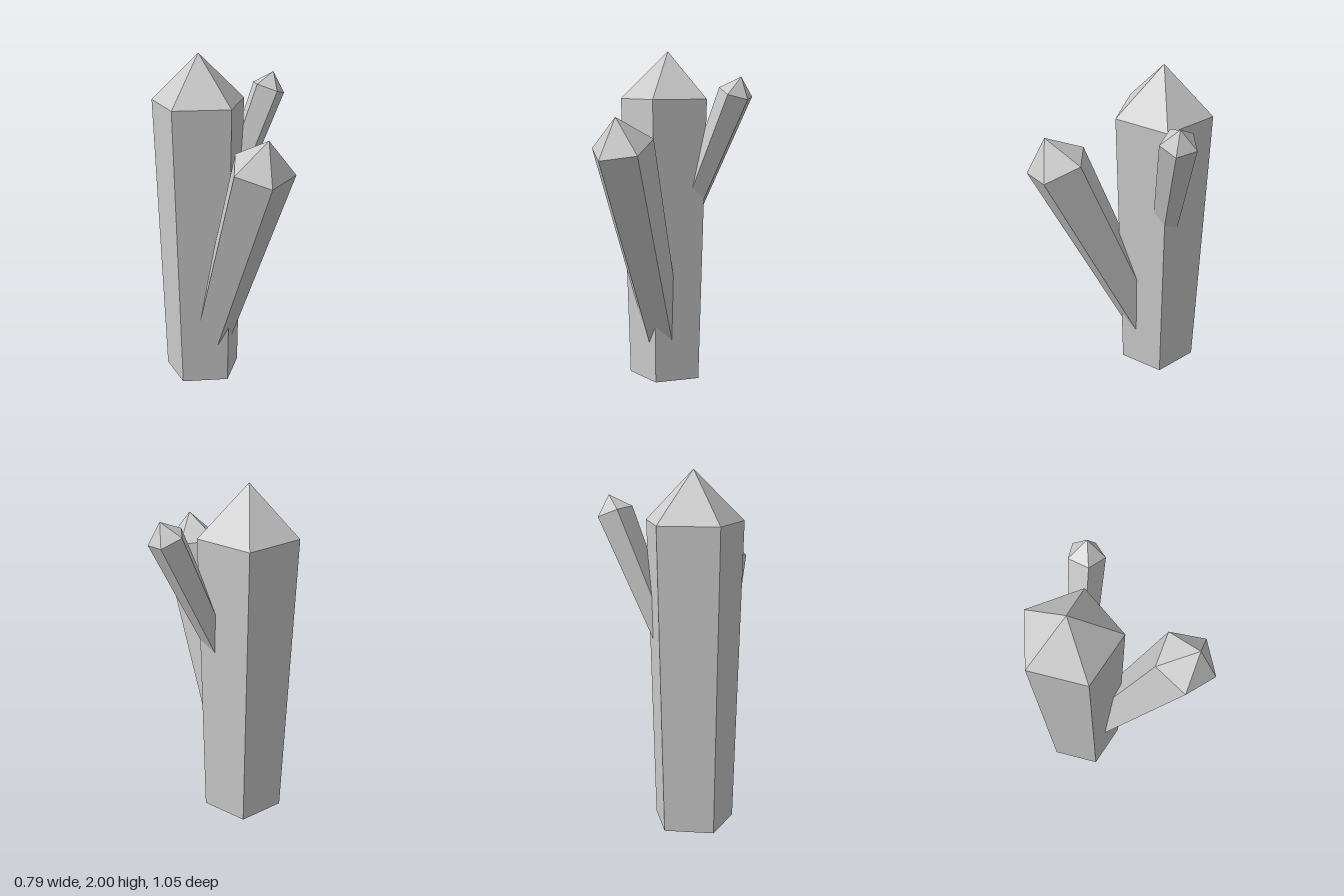
import * as THREE from 'three';

const material = new THREE.MeshStandardMaterial({
  color: 0xcccccc, flatShading: true, side: THREE.DoubleSide,
});

// Crystal shard: a shoulder ring (clockwise from above) tapering down to an
// open base around baseCentre, and rising to a point at the apex.
function crystal(name, shoulder, apex, baseCentre, baseScale) {
  const top = shoulder.map((p) => new THREE.Vector3(...p));
  const n = top.length;
  const centre = top.reduce((sum, p) => sum.add(p), new THREE.Vector3()).divideScalar(n);
  const foot = new THREE.Vector3(...baseCentre);
  const base = top.map((p) => p.clone().sub(centre).multiplyScalar(baseScale).add(foot));
  const tip = new THREE.Vector3(...apex);

  const points = [];
  for (let i = 0; i < n; i++) {
    const j = (i + 1) % n;
    points.push(base[j], base[i], top[i], base[j], top[i], top[j]); // side
    points.push(top[j], top[i], tip); // facet of the point
  }
  const geometry = new THREE.BufferGeometry().setFromPoints(points);
  geometry.computeVertexNormals();
  const mesh = new THREE.Mesh(geometry, material);
  mesh.name = name;
  return mesh;
}

export function createModel() {
  const group = new THREE.Group();
  group.name = 'crystalCluster';

  // Upright main crystal with a regular five-sided section
  const x = -0.165, z = -0.255, radius = 0.285;
  const pentagon = Array.from({ length: 5 }, (_, i) => {
    const a = (i / 5) * Math.PI * 2;
    return [x + radius * Math.cos(a), 1.72, z + radius * Math.sin(a)];
  });
  group.add(crystal('mainCrystal', pentagon, [x, 2, z], [x, 0, z], 0.825));

  // Medium crystal leaning forward
  group.add(crystal('frontCrystal', [
    [-0.225, 1.455, 0.385], [-0.135, 1.52, 0.195], [0.08, 1.51, 0.215],
    [0.125, 1.43, 0.42], [-0.065, 1.40, 0.52],
  ], [-0.035, 1.635, 0.41], [-0.14, 0.25, -0.17], 0.64));

  // Small crystal leaning out to the left
  group.add(crystal('sideCrystal', [
    [0.235, 1.78, -0.375], [0.35, 1.735, -0.385], [0.39, 1.72, -0.27],
    [0.305, 1.75, -0.19], [0.205, 1.79, -0.255],
  ], [0.33, 1.85, -0.295], [-0.01, 1.05, -0.27], 0.7));

  return group;
}
